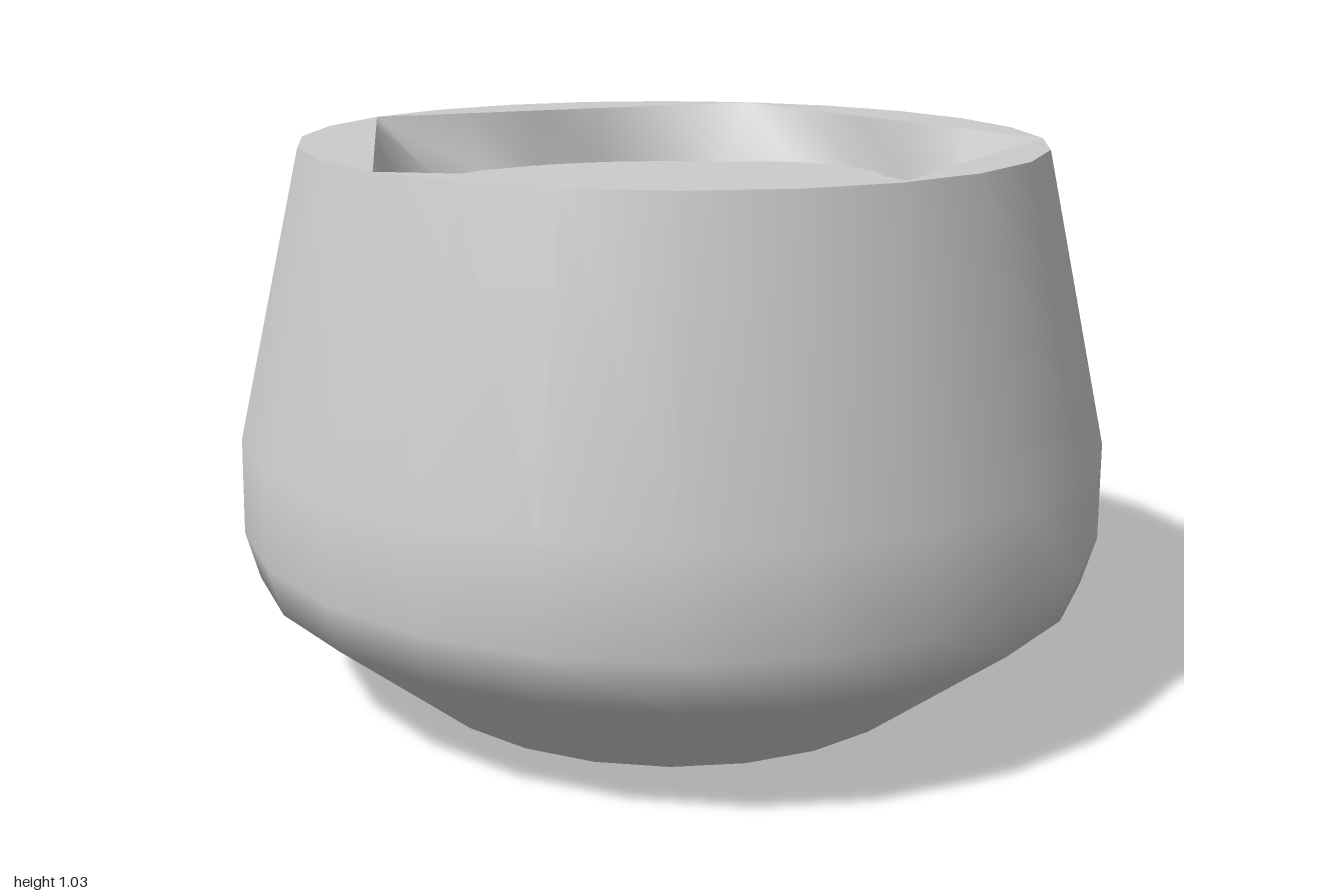
import * as THREE from 'three';

const SEGMENTS = 24;
const CUP_X = 0.185;
const RIM_R = 0.69, RIM_Y = 1.03, LIQUID_R = 0.545, LIQUID_Y = 0.915;
// Directions (degrees) in which the five-cornered opening touches the rim
const CORNERS = [15, 90, 165, 240, 315];

const material = new THREE.MeshStandardMaterial({ color: 0xcccccc, side: THREE.DoubleSide });

function addMesh(group, name, geometry, x, y, z) {
  const mesh = new THREE.Mesh(geometry, material);
  mesh.name = name;
  mesh.position.set(x, y, z);
  group.add(mesh);
  return mesh;
}

function lathe(points) {
  return new THREE.LatheGeometry(points.map(([r, y]) => new THREE.Vector2(r, y)), SEGMENTS);
}

// Distance from the axis to the straight edge between two neighbouring corners
function openingRadius(angle) {
  const degrees = (THREE.MathUtils.radToDeg(angle) - CORNERS[0] + 720) % 360 + CORNERS[0];
  for (let i = 0; i < CORNERS.length; i++) {
    const start = CORNERS[i];
    const end = i + 1 < CORNERS.length ? CORNERS[i + 1] : CORNERS[0] + 360;
    if (degrees <= end + 0.01) {
      const half = THREE.MathUtils.degToRad((end - start) / 2);
      const offset = THREE.MathUtils.degToRad(degrees - (start + end) / 2);
      return RIM_R * Math.cos(half) / Math.cos(offset);
    }
  }
  return RIM_R;
}

// Pull one ring of a lathe in to the five-cornered opening
function shapeRing(geometry, ring, ringCount) {
  const p = geometry.attributes.position;
  for (let i = ring; i < p.count; i += ringCount) {
    const angle = Math.atan2(p.getZ(i), p.getX(i));
    const r = openingRadius(angle);
    p.setX(i, r * Math.cos(angle));
    p.setZ(i, r * Math.sin(angle));
  }
  geometry.computeVertexNormals();
  return geometry;
}

export function createModel() {
  const group = new THREE.Group();
  group.name = 'cup';

  // Outer wall with a narrow foot, a round belly and a tapered top
  addMesh(group, 'outerWall', lathe([
    [0.51, 0], [0.79, 0.23], [0.815, 0.32], [0.812, 0.5], [RIM_R, RIM_Y],
  ]), CUP_X, 0, 0);
  const base = addMesh(group, 'base', new THREE.CircleGeometry(0.51, SEGMENTS), CUP_X, 0, 0);
  base.rotation.x = Math.PI / 2;

  // Flat lip segments, and the inner slope down to the liquid
  addMesh(group, 'rimLip', shapeRing(lathe([[RIM_R, RIM_Y], [RIM_R, RIM_Y]]), 1, 2), CUP_X, 0, 0);
  addMesh(group, 'innerSlope',
    shapeRing(lathe([[RIM_R, RIM_Y], [LIQUID_R, LIQUID_Y]]), 0, 2), CUP_X, 0, 0);

  // Liquid surface with two round pieces floating above it
  const discs = [
    ['liquid', LIQUID_R, CUP_X, LIQUID_Y],
    ['largeFloatingDisc', 0.21, 0.425, 0.98],
    ['smallFloatingDisc', 0.11, 0.48, 0.985],
  ];
  for (const [name, radius, x, y] of discs) {
    const disc = addMesh(group, name, new THREE.CircleGeometry(radius, 32), x, y, 0);
    disc.rotation.x = -Math.PI / 2;
  }

  // Handle: an open ring with a wide, flat section
  const arc = THREE.MathUtils.degToRad(214);
  const ring = new THREE.TorusGeometry(0.338, 0.036, 8, 11, arc);
  ring.rotateZ(THREE.MathUtils.degToRad(73));
  ring.scale(1, 1, 2.15);
  addMesh(group, 'handle', ring, -0.628, 0.52, -0.08);

  return group;
}
